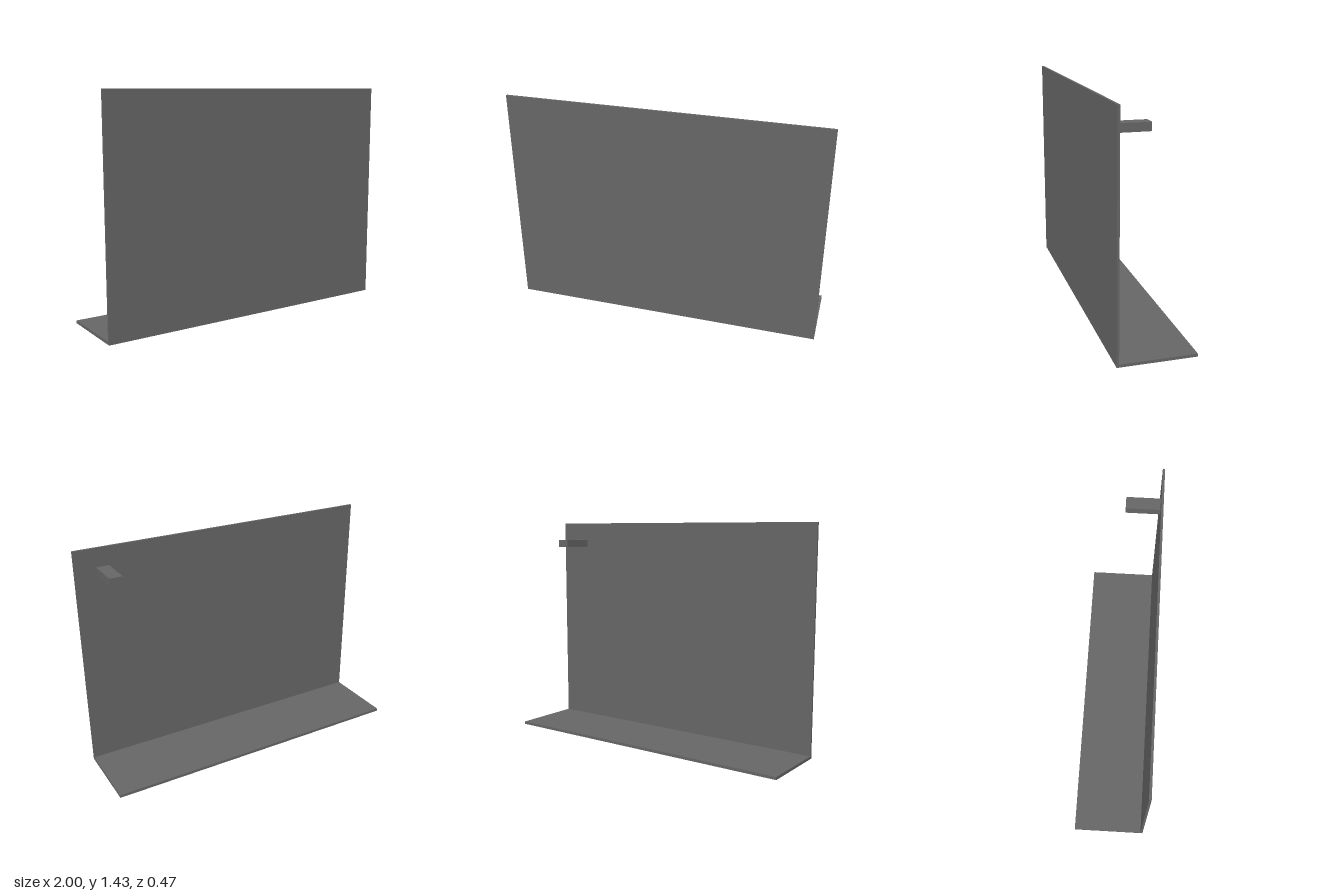
import * as THREE from 'three';

export function createModel() {
  const model = new THREE.Group();
  model.name = 'wallPanelWithShelf';

  const grey = new THREE.MeshStandardMaterial({ color: 0x666666 });
  grey.name = 'dark grey';

  // Box given by its minimum and maximum corners
  function addBox(name, min, max) {
    const size = max.map((v, i) => v - min[i]);
    const mesh = new THREE.Mesh(new THREE.BoxGeometry(...size), grey);
    mesh.position.set(...max.map((v, i) => (v + min[i]) / 2));
    mesh.name = name;
    model.add(mesh);
  }

  // Upright front panel
  addBox('frontPanel', [-1, 0, 0.222], [1, 1.432, 0.236]);
  // Base plate reaching back from the foot of the panel
  addBox('basePlate', [-1, 0, -0.236], [1, 0.018, 0.222]);
  // Small bracket on the back, near the upper left corner
  addBox('bracket', [0.785, 1.264, 0.009], [0.866, 1.314, 0.222]);

  return model;
}
